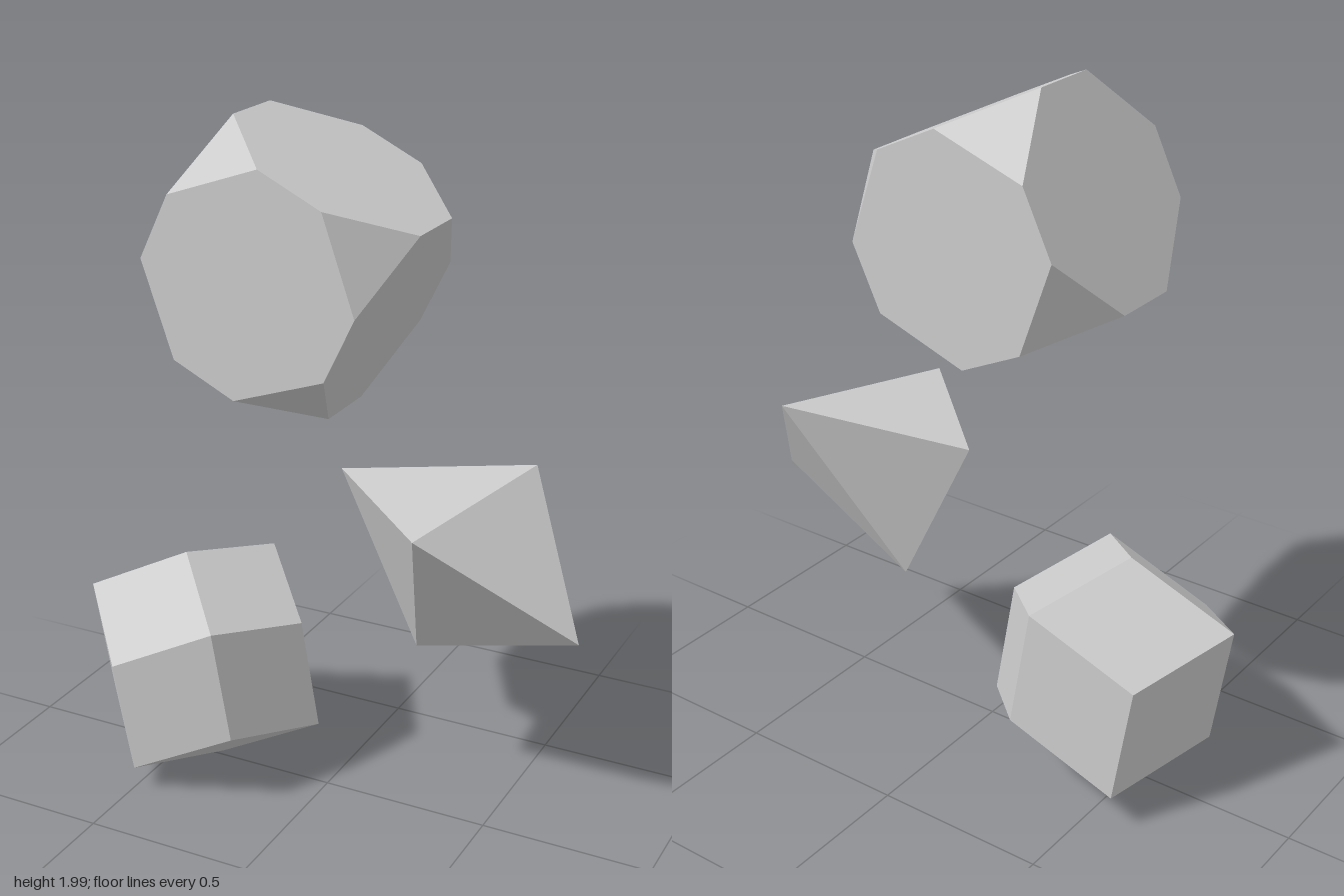
import * as THREE from 'three';
import { ConvexGeometry } from 'three/addons/geometries/ConvexGeometry.js';

const material = new THREE.MeshStandardMaterial({ color: 0xcccccc, flatShading: true });
const v = (x, y, z) => new THREE.Vector3(x, y, z);
const signs = [-1, 1];

function solid(name, points) {
  const mesh = new THREE.Mesh(new ConvexGeometry(points), material);
  mesh.name = name;
  return mesh;
}

// Cube with every corner cut off at a third of each edge
function truncatedCube(half) {
  const points = [];
  for (const a of signs) for (const b of signs) for (const c of signs) {
    const corner = [a, b, c];
    for (let axis = 0; axis < 3; axis++) {
      points.push(v(...corner.map((s, i) => s * half * (i === axis ? 1 / 3 : 1))));
    }
  }
  return solid('truncatedCube', points);
}

// Rhombic dodecahedron: all half-sums of its four edge directions
function rhombicDodecahedron(edges) {
  let points = [v(0, 0, 0)];
  for (const e of edges) {
    points = points.flatMap((p) => signs.map((s) => p.clone().addScaledVector(e, s / 2)));
  }
  return solid('rhombicDodecahedron', points);
}

export function createModel() {
  const group = new THREE.Group();
  group.name = 'stackedPolyhedra';

  // Upper solid, tilted about the front axis
  const top = truncatedCube(0.298);
  top.position.set(-0.092, 1.602, -0.014);
  top.rotation.z = THREE.MathUtils.degToRad(-25.8);

  // Middle solid: two tips joined by a triangular girdle
  const tips = [v(-0.029, 0.963, -0.146), v(0.749, 0.64, -0.019)];
  const girdle = [v(0.363, 0.963, 0.229), v(0.5, 1.011, -0.313), v(0.23, 0.471, -0.114)];
  const middle = solid('triangularBipyramid', [...tips, ...girdle]);

  // Lower solid
  const bottom = rhombicDodecahedron([
    v(-0.222, 0.111, -0.243),
    v(0.042, -0.339, -0.026),
    v(0.307, 0.153, -0.042),
    v(0.122, -0.074, -0.312),
  ]);
  bottom.position.set(-0.408, 0.347, 0.006);

  group.add(top, middle, bottom);
  return group;
}
